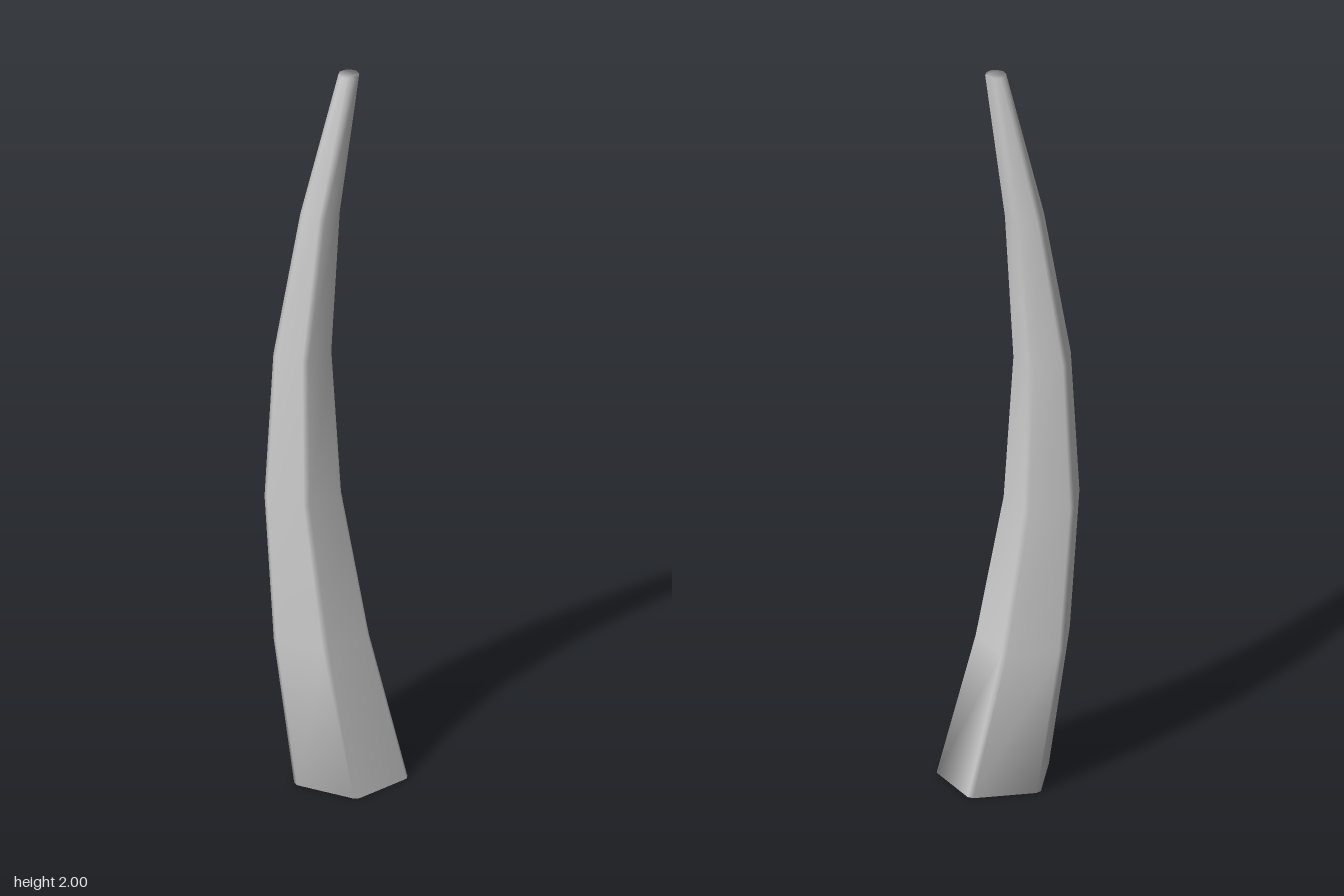
import * as THREE from 'three';

const LEVELS = 5;    // straight segments along the horn
const BEVEL = 0.01;  // corner cut, constant along the length
const SIDES = 5;

// Pentagon with a corner towards +x and every corner cut off
function ringPoints(radius, cx, y) {
  const corners = [];
  for (let i = 0; i < SIDES; i++) {
    const a = (i / SIDES) * Math.PI * 2;
    corners.push(new THREE.Vector3(cx + radius * Math.cos(a), y, radius * Math.sin(a)));
  }
  const points = [];
  corners.forEach((p, i) => {
    for (const step of [SIDES - 1, 1]) {
      const dir = corners[(i + step) % SIDES].clone().sub(p).normalize();
      points.push(p.clone().addScaledVector(dir, BEVEL));
    }
  });
  return points;
}

function hornGeometry() {
  const n = SIDES * 2;
  const points = [];
  const index = [];

  // Tapering rings along a bowed centre line
  for (let k = 0; k <= LEVELS; k++) {
    const t = k / LEVELS;
    const radius = THREE.MathUtils.lerp(0.158, 0.032, t);
    const cx = 0.027 - 0.13 * Math.sin(Math.PI * t);
    points.push(...ringPoints(radius, cx, 2 * t));
  }

  // Side walls
  for (let k = 0; k < LEVELS; k++) {
    for (let i = 0; i < n; i++) {
      const a = k * n + i;
      const b = k * n + ((i + 1) % n);
      index.push(a, a + n, b, b, a + n, b + n);
    }
  }

  // End caps share the rim vertices, so the shading runs over the rims
  const top = LEVELS * n;
  for (let i = 1; i < n - 1; i++) {
    index.push(0, i, i + 1);
    index.push(top, top + i + 1, top + i);
  }

  const geometry = new THREE.BufferGeometry().setFromPoints(points);
  geometry.setIndex(index);
  geometry.computeVertexNormals();
  return geometry;
}

export function createModel() {
  const group = new THREE.Group();
  group.name = 'curvedHorn';
  const horn = new THREE.Mesh(hornGeometry(), new THREE.MeshStandardMaterial({ color: 0xcccccc }));
  horn.name = 'horn';
  group.add(horn);
  return group;
}
